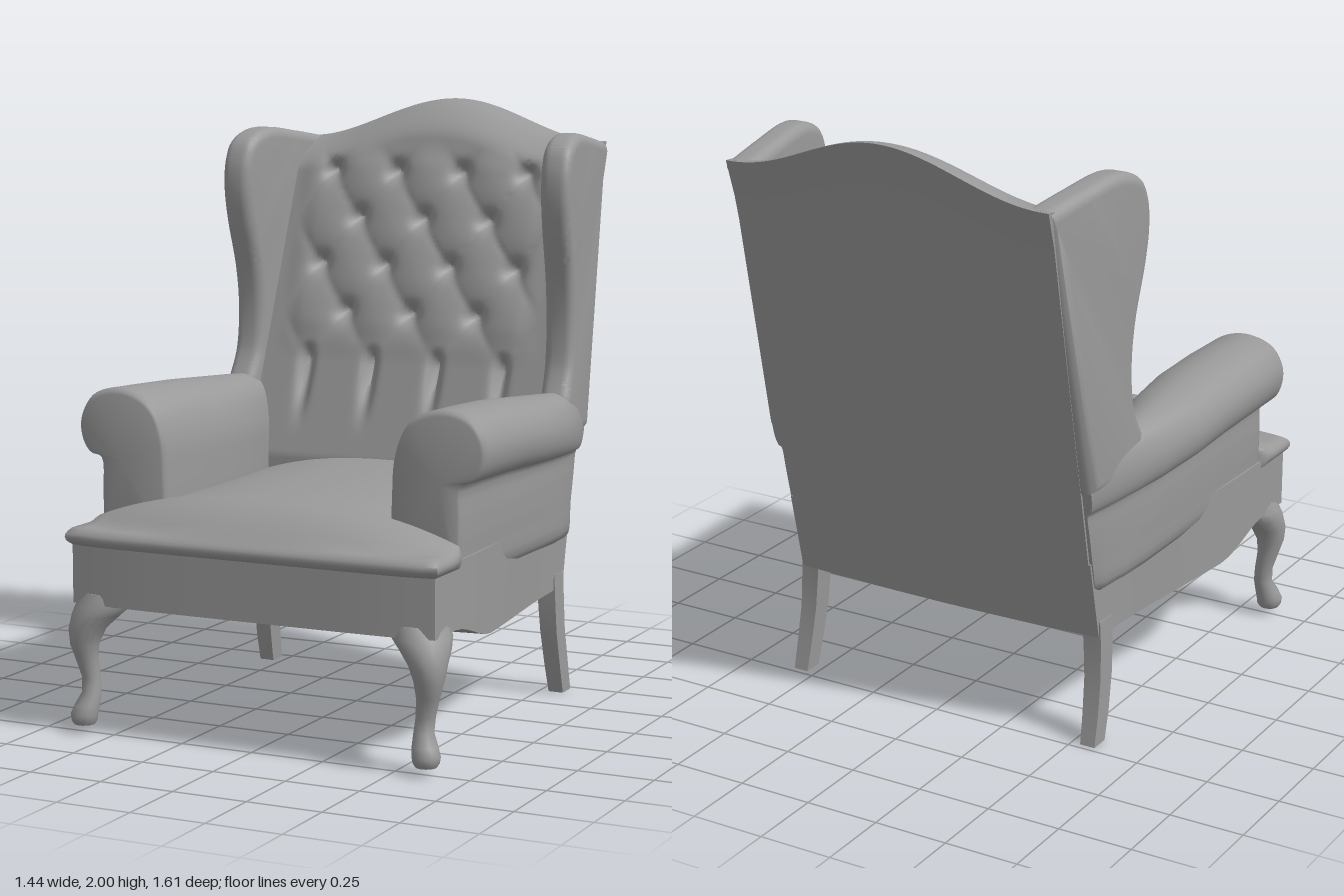
import * as THREE from 'three';
import { toCreasedNormals } from 'three/addons/utils/BufferGeometryUtils.js';

const { lerp, smoothstep, clamp } = THREE.MathUtils;

// z of the sloping rear plane of the chair at height y
const rearZ = (y) => -0.43 - (y - 0.36) * 0.225;

// Box of unit half-extents whose vertices are moved by a rule
function warpBox(sx, sy, sz, rule, crease = 0.9) {
  const g = new THREE.BoxGeometry(2, 2, 2, sx, sy, sz);
  g.deleteAttribute('uv');
  const p = g.attributes.position;
  for (let i = 0; i < p.count; i++) p.setXYZ(i, ...rule(p.getX(i), p.getY(i), p.getZ(i)));
  return toCreasedNormals(g, crease);
}

// Skin over equal rings of [x, y, z] points, with both ends closed
function loft(rings, crease = 0.9) {
  const n = rings[0].length, last = rings.length - 1;
  const pos = rings.flat(2), idx = [];
  for (let i = 0; i < last; i++) {
    for (let j = 0; j < n; j++) {
      const a = i * n + j, b = i * n + (j + 1) % n;
      idx.push(a, b, a + n, b, b + n, a + n);
    }
  }
  for (const r of [0, last]) {
    const c = pos.length / 3;
    for (let k = 0; k < 3; k++) pos.push(rings[r].reduce((s, q) => s + q[k], 0) / n);
    for (let j = 0; j < n; j++) {
      const a = r * n + j, b = r * n + (j + 1) % n;
      if (r === 0) idx.push(c, b, a); else idx.push(c, a, b);
    }
  }
  const g = new THREE.BufferGeometry();
  g.setAttribute('position', new THREE.Float32BufferAttribute(pos, 3));
  g.setIndex(idx);
  return toCreasedNormals(g, crease);
}

// Mirrored copy across x = 0 with the corner order put right
function mirror(geo) {
  const g = geo.clone();
  for (const key of ['position', 'normal']) {
    const a = g.attributes[key];
    for (let i = 0; i < a.count; i += 3) {
      const v = [0, 2, 1].map((k) => [-a.getX(i + k), a.getY(i + k), a.getZ(i + k)]);
      v.forEach((q, k) => a.setXYZ(i + k, ...q));
    }
  }
  return g;
}

// Upholstered box under the seat, with a sagging underside
function baseGeometry() {
  return warpBox(8, 6, 24, (u, v, w) => {
    const t = (w + 1) / 2;
    const bottom = lerp(0.355, 0.425, smoothstep(t, 0.62, 0.88)) + 0.012 * u * u * (1 - t);
    const y = lerp(bottom, 0.64, (v + 1) / 2);
    const front = 0.785 - 0.02 * Math.pow(Math.abs(u), 6);
    return [u * lerp(0.57, 0.638, smoothstep(t, 0, 0.8)), y, lerp(rearZ(y), front, t)];
  }, 0.7);
}

// Crowned cushion that widens in front of the arms
function seatGeometry() {
  return warpBox(32, 6, 44, (u, v, w) => {
    const z0 = lerp(-0.3, 0.805, (w + 1) / 2);
    const round = 1 - 0.025 * v * v;
    const half = lerp(0.59, 0.655, smoothstep(z0, 0.55, 0.6));
    const drop = 0.12 * Math.pow(Math.max(0, (z0 - 0.55) / 0.255), 2.4);
    const top = Math.max(0.67, 0.787 - drop - 0.1 * Math.pow(Math.abs(u), 2.5));
    const corner = 0.02 * Math.pow(Math.abs(u), 8) * smoothstep(z0, 0.6, 0.8);
    return [u * half * round, lerp(0.615, top, (v + 1) / 2), z0 * round - corner];
  }, 1.1);
}

// Button positions: staggered rows
const buttons = [];
[1.75, 1.59, 1.43, 1.27].forEach((y, row) => {
  (row % 2 ? [-0.245, 0, 0.245] : [-0.3675, -0.1225, 0.1225, 0.3675]).forEach((x) => buttons.push([x, y]));
});
const folds = [-0.3675, -0.1225, 0.1225, 0.3675];

// Depth pressed into the front of the back by buttons, pleats and folds
function tuft(x, y) {
  let d = 0;
  for (const [bx, by] of buttons) {
    const r2 = (x - bx) ** 2 + (y - by) ** 2;
    d += 0.04 * Math.exp(-r2 / 0.0009) + 0.012 * Math.exp(-r2 / 0.005);
  }
  for (const fx of folds) {
    const fade = smoothstep(y, 0.85, 1.1) * (1 - smoothstep(y, 1.1, 1.17));
    d += 0.045 * fade * Math.exp(-((x - fx) ** 2) / 0.0005);
  }
  const a = (x - 0.1225) / 0.245, b = (y - 1.75) / 0.32;
  const pillow = Math.sqrt(Math.abs(Math.sin(Math.PI * (a + b)) * Math.sin(Math.PI * (a - b))));
  const zone = smoothstep(y, 1.1, 1.25) * (1 - smoothstep(y, 1.76, 1.86)) * (1 - smoothstep(Math.abs(x), 0.4, 0.5));
  return d - 0.016 * pillow * zone;
}

// Leaning back with a serpentine crest and a rolled top
function backGeometry() {
  const crest = (x) => 1.862 + 0.138 * (0.5 + 0.5 * Math.cos(Math.PI * clamp(Math.abs(x) / 0.56, 0, 1)));
  return warpBox(110, 130, 6, (u, v, w) => {
    const t = (v + 1) / 2;
    const x = u * lerp(0.56, 0.578, t);
    const roll = clamp((t - 0.92) / 0.08, 0, 1);
    const y = lerp(0.37, crest(x), t) - 0.02 * roll * ((w + 1) / 2) ** 2;
    const front = -0.25 - Math.max(0, y - 0.78) * 0.325 - 0.08 * roll ** 2 - tuft(x, y);
    return [x, y, lerp(rearZ(y) - 0.01 * roll, front, (w + 1) / 2)];
  }, 1.0);
}

// Wing: side outline, padded by the bevel and flared outward to the front
function wingGeometry() {
  const s = new THREE.Shape();
  s.moveTo(0.55, 0.9);
  s.lineTo(0.27, 0.9);
  s.lineTo(0.28, 1.04);
  s.splineThru([[0.325, 1.14], [0.337, 1.28], [0.32, 1.42], [0.275, 1.58], [0.255, 1.7],
    [0.265, 1.8], [0.31, 1.87], [0.42, 1.903], [0.6, 1.885], [0.765, 1.862]].map((q) => new THREE.Vector2(...q)));
  s.lineTo(0.55, 0.9);
  const g = new THREE.ExtrudeGeometry(s, {
    depth: 0.04, bevelThickness: 0.033, bevelSize: 0.035, bevelOffset: -0.035, bevelSegments: 5, curveSegments: 40,
  });
  g.deleteAttribute('uv');
  g.rotateY(Math.PI / 2);
  const p = g.attributes.position;
  for (let i = 0; i < p.count; i++) p.setX(i, p.getX(i) + 0.512 + (p.getZ(i) + 0.79) * 0.12);
  return toCreasedNormals(g, 0.8);
}

// Rolled arm: scroll section carried from front to rear
function armGeometry() {
  const section = new THREE.CatmullRomCurve3([
    [0.42, 0.55], [0.4, 0.68], [0.4, 0.82], [0.41, 0.95], [0.45, 1.045], [0.52, 1.09], [0.6, 1.1],
    [0.68, 1.07], [0.72, 1.0], [0.715, 0.93], [0.685, 0.885], [0.642, 0.87], [0.637, 0.76], [0.634, 0.66], [0.615, 0.55],
  ].map(([x, y]) => new THREE.Vector3(x, y, 0)), true).getPoints(60).slice(0, -1);
  // z, inner x, outer x, drop of the roll, inset
  const stations = [
    [0.582, 0.4, 0.725, 0, 0.1], [0.578, 0.4, 0.725, 0, 0.04], [0.56, 0.4, 0.725, 0, 0],
    [0.4, 0.385, 0.724, 0.006, 0], [0.2, 0.38, 0.72, 0.015, 0], [0, 0.4, 0.715, 0.03, 0],
    [-0.2, 0.45, 0.69, 0.045, 0], [-0.32, 0.485, 0.664, 0.055, 0], [-0.43, 0.5, 0.635, 0.065, 0], [null, 0.51, 0.6, 0.08, 0],
  ];
  return loft(stations.map(([z, inner, outer, drop, inset]) => section.map((q) => {
    const x = lerp(inner, outer, (q.x - 0.4) / 0.325);
    const y = q.y - drop * smoothstep(q.y, 0.7, 1.0);
    return [lerp(x, 0.55, inset), lerp(y, 0.9, inset), z ?? rearZ(y) + 0.008];
  })), 1.0);
}

// Leg through [y, x, z, half width, half depth] sections
function legGeometry(rows, sides, turn = 0) {
  return loft(rows.map(([y, x, z, rx, rz]) => Array.from({ length: sides }, (_, j) => {
    const a = turn + (j / sides) * Math.PI * 2;
    return [x + rx * Math.cos(a), y, z + rz * Math.sin(a)];
  })), 0.8);
}

export function createModel() {
  const model = new THREE.Group();
  model.name = 'wingChair';
  const grey = new THREE.MeshStandardMaterial({ color: 0x999999 });
  grey.name = 'grey';
  const add = (name, geo) => {
    const m = new THREE.Mesh(geo, grey);
    m.name = name;
    model.add(m);
  };
  const addPair = (name, geo) => {
    add(name + 'Left', geo);
    add(name + 'Right', mirror(geo));
  };

  add('base', baseGeometry());
  add('seatCushion', seatGeometry());
  add('tuftedBack', backGeometry());
  addPair('wing', wingGeometry());
  addPair('arm', armGeometry());

  // Curved front legs
  addPair('frontLeg', legGeometry([
    [0.46, 0.55, 0.68, 0.085, 0.1], [0.42, 0.56, 0.69, 0.095, 0.105], [0.385, 0.582, 0.712, 0.08, 0.09],
    [0.34, 0.603, 0.738, 0.06, 0.066], [0.29, 0.61, 0.745, 0.047, 0.05], [0.24, 0.605, 0.74, 0.037, 0.038],
    [0.18, 0.594, 0.732, 0.031, 0.031], [0.13, 0.59, 0.737, 0.032, 0.032], [0.09, 0.6, 0.75, 0.041, 0.041],
    [0.06, 0.607, 0.757, 0.045, 0.045], [0.04, 0.607, 0.757, 0.042, 0.042], [0.028, 0.607, 0.757, 0.034, 0.034],
  ], 16));

  // Square raked back legs
  addPair('backLeg', legGeometry([
    [0.42, 0.54, -0.39, 0.048, 0.058], [0.34, 0.545, -0.39, 0.045, 0.055], [0.22, 0.55, -0.397, 0.042, 0.053],
    [0.1, 0.555, -0.42, 0.04, 0.051], [0, 0.558, -0.445, 0.037, 0.048],
  ], 4, Math.PI / 4));
  return model;
}
